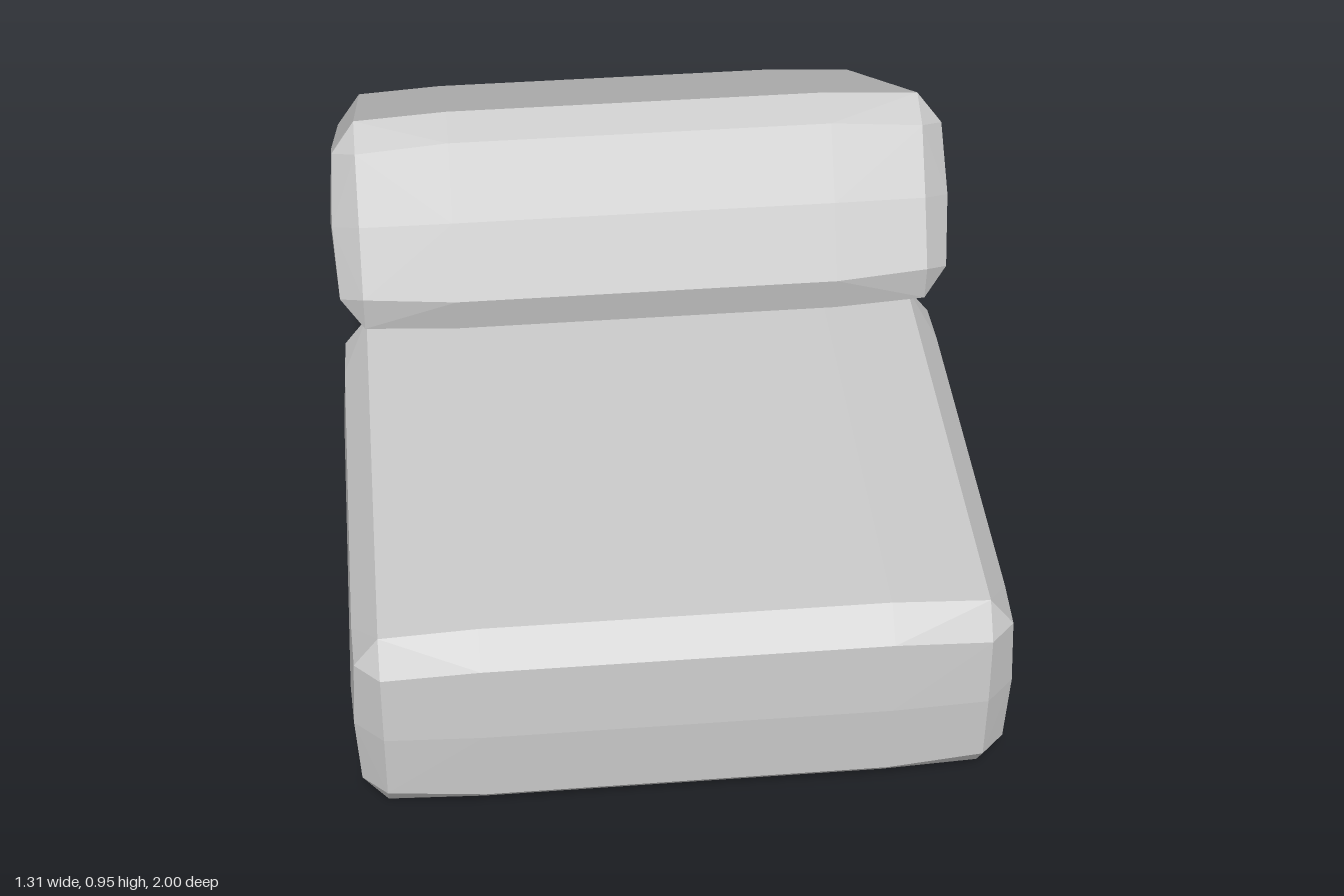
import * as THREE from 'three';
import { ConvexGeometry } from 'three/addons/geometries/ConvexGeometry.js';

// One octant of a cushion: chamfered block whose faces swell toward the middle
const OCTANT = [
  // top face rim
  [0.4, 0.228, 0.505], [0.593, 0.218, 0.505],
  // front face rim and crown
  [0.593, 0.152, 0.554], [0.4, 0.166, 0.561], [0.593, 0, 0.561], [0.4, 0, 0.57],
  // side face rim and crown
  [0.642, 0.153, 0.505], [0.645, 0.155, 0.4], [0.65, 0, 0.505], [0.655, 0, 0.4],
];

function cushionGeometry() {
  const points = [];
  for (const [x, y, z] of OCTANT) {
    for (const sx of [-1, 1]) {
      for (const sy of y === 0 ? [1] : [-1, 1]) {
        for (const sz of [-1, 1]) points.push(new THREE.Vector3(sx * x, sy * y, sz * z));
      }
    }
  }
  return new ConvexGeometry(points);
}

export function createModel() {
  const group = new THREE.Group();
  group.name = 'cushions';
  const geometry = cushionGeometry();
  const material = new THREE.MeshStandardMaterial({ color: 0xcccccc, flatShading: true });

  const addCushion = (name, y, z, tilt) => {
    const mesh = new THREE.Mesh(geometry, material);
    mesh.name = name;
    mesh.position.set(0, y, z);
    mesh.rotation.x = tilt;
    group.add(mesh);
  };

  // Seat cushion lies flat; back cushion leans on its rear edge
  addCushion('seatCushion', 0.228, 0.43, 0);
  addCushion('backCushion', 0.5, -0.431, -Math.PI / 6);
  return group;
}
